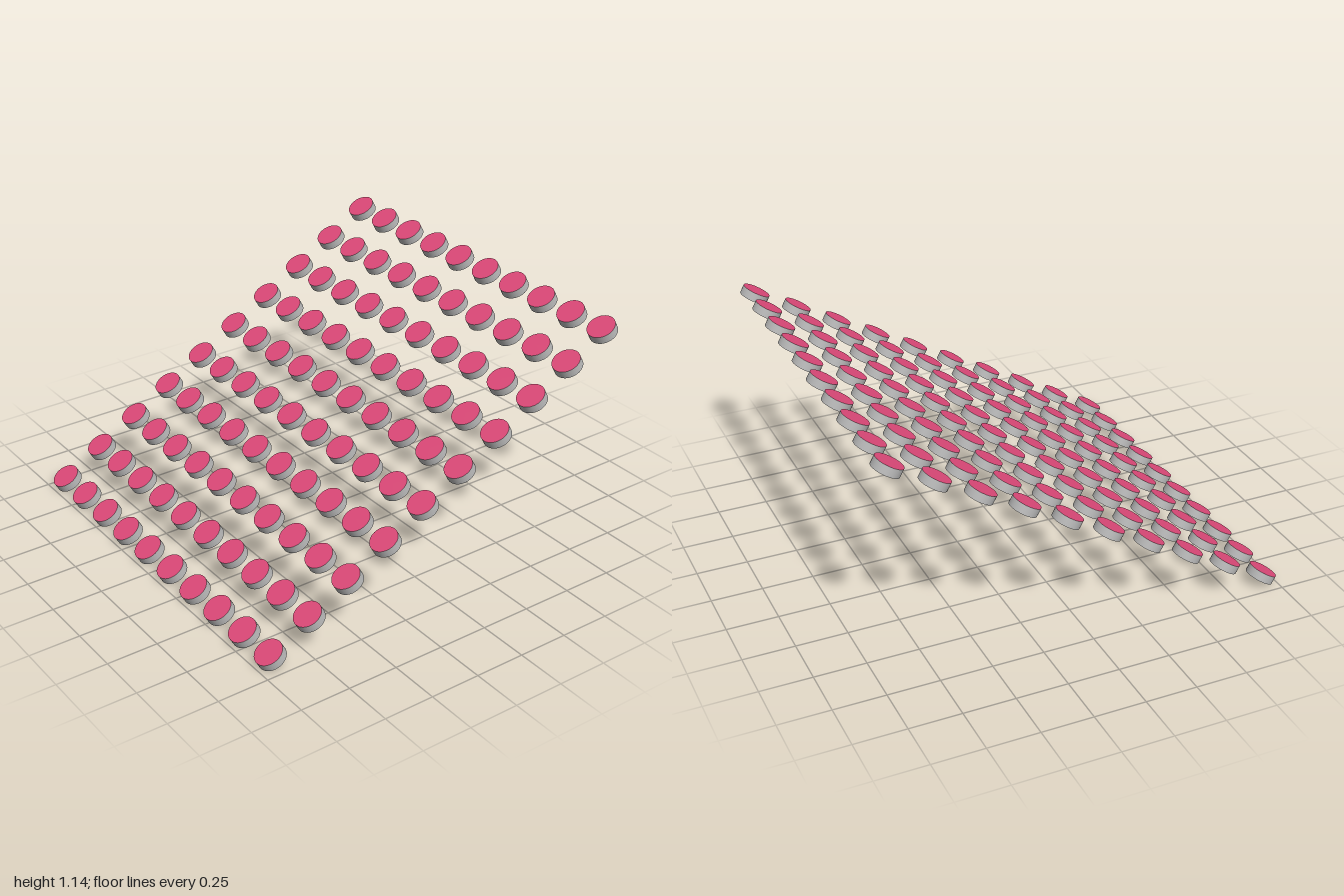
import * as THREE from 'three';

const COUNT = 10;      // discs per row and rows
const RADIUS = 0.0687;
const HEIGHT = 0.043;
const TILT = THREE.MathUtils.degToRad(29.1);
const STEP_X = 0.2037;
const STEP_Z = 0.2065; // horizontal distance between rows

export function createModel() {
  const model = new THREE.Group();
  model.name = 'tiltedDiscGrid';

  const grey = new THREE.MeshStandardMaterial({ color: 0xb8b8b8 });
  grey.name = 'grey body';
  const pink = new THREE.MeshStandardMaterial({ color: 0xe04a7a });
  pink.name = 'pink top';

  // One short disc: grey side, pink top, grey underside
  const disc = new THREE.CylinderGeometry(RADIUS, RADIUS, HEIGHT, 40);
  const materials = [grey, pink, grey];

  // Height of the lowest row's centre, so its rim touches the ground
  const baseY = RADIUS * Math.sin(TILT) + (HEIGHT / 2) * Math.cos(TILT);
  const middle = (COUNT - 1) / 2;

  // Rows climb from front to back along the tilted plane
  for (let row = 0; row < COUNT; row++) {
    const rowGroup = new THREE.Group();
    rowGroup.name = `discRow${row + 1}`;
    rowGroup.position.set(0, baseY + row * STEP_Z * Math.tan(TILT), (middle - row) * STEP_Z);
    rowGroup.rotation.x = TILT;
    for (let col = 0; col < COUNT; col++) {
      const mesh = new THREE.Mesh(disc, materials);
      mesh.name = `disc${row + 1}_${col + 1}`;
      mesh.position.x = (col - middle) * STEP_X;
      rowGroup.add(mesh);
    }
    model.add(rowGroup);
  }
  return model;
}
